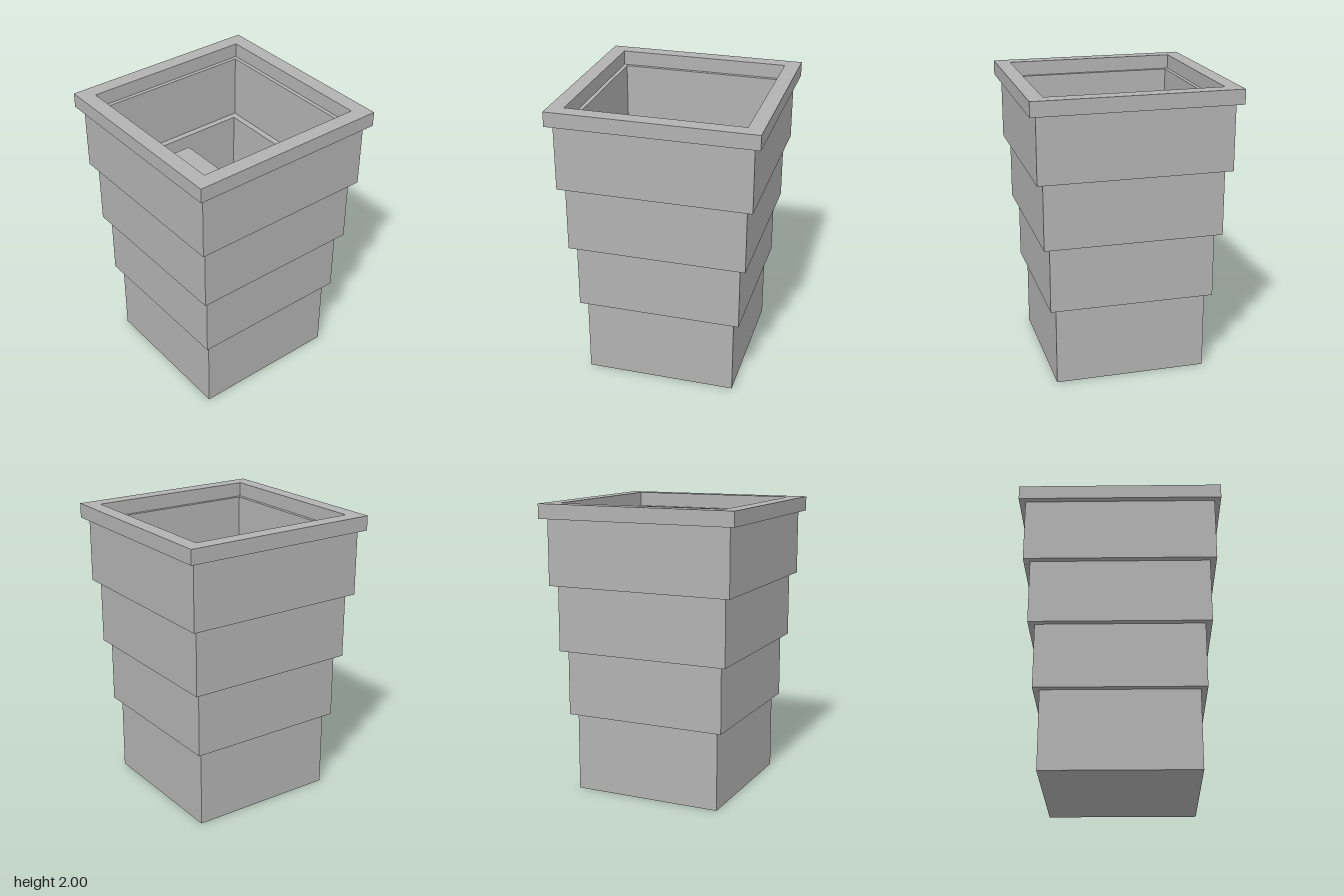
import * as THREE from 'three';

const grey = new THREE.MeshStandardMaterial({ color: 0xb2b2b2 });
grey.name = 'plain grey';

// Square frame with a square opening, standing between two heights
function squareTube(name, outer, inner, bottom, top) {
  const square = (Type, h) => {
    const s = new Type();
    s.moveTo(-h, -h);
    s.lineTo(h, -h);
    s.lineTo(h, h);
    s.lineTo(-h, h);
    s.closePath();
    return s;
  };
  const shape = square(THREE.Shape, outer);
  shape.holes.push(square(THREE.Path, inner));
  const geometry = new THREE.ExtrudeGeometry(shape, { depth: top - bottom, bevelEnabled: false });
  geometry.rotateX(-Math.PI / 2);
  const mesh = new THREE.Mesh(geometry, grey);
  mesh.name = name;
  mesh.position.y = bottom;
  return mesh;
}

// Box given by its limits on each axis
function block(name, [x0, x1], [y0, y1], [z0, z1]) {
  const mesh = new THREE.Mesh(new THREE.BoxGeometry(x1 - x0, y1 - y0, z1 - z0), grey);
  mesh.name = name;
  mesh.position.set((x0 + x1) / 2, (y0 + y1) / 2, (z0 + z1) / 2);
  return mesh;
}

export function createModel() {
  const model = new THREE.Group();
  model.name = 'steppedContainer';

  // Four wall tiers, each wider than the one below
  const heights = [0, 0.545, 0.997, 1.45, 1.9];
  const wall = 0.087;
  for (let i = 0; i < 4; i++) {
    const outer = 0.522 + i * 0.0433;
    model.add(squareTube('wallTier' + (i + 1), outer, outer - wall, heights[i], heights[i + 1]));
  }

  // Projecting rim and closed floor
  model.add(squareTube('rim', 0.695, 0.592, 1.9, 2));
  model.add(block('floor', [-0.435, 0.435], [0, wall], [-0.435, 0.435]));

  // Three blocks stacked off-centre inside
  model.add(block('lowerBlock', [-0.35, 0.257], [0.087, 0.695], [-0.35, 0.257]));
  model.add(block('middleBlock', [0, 0.432], [0.695, 1.215], [-0.175, 0.345]));
  model.add(block('upperBlock', [-0.26, 0.087], [1.215, 1.56], [0.085, 0.432]));

  return model;
}
